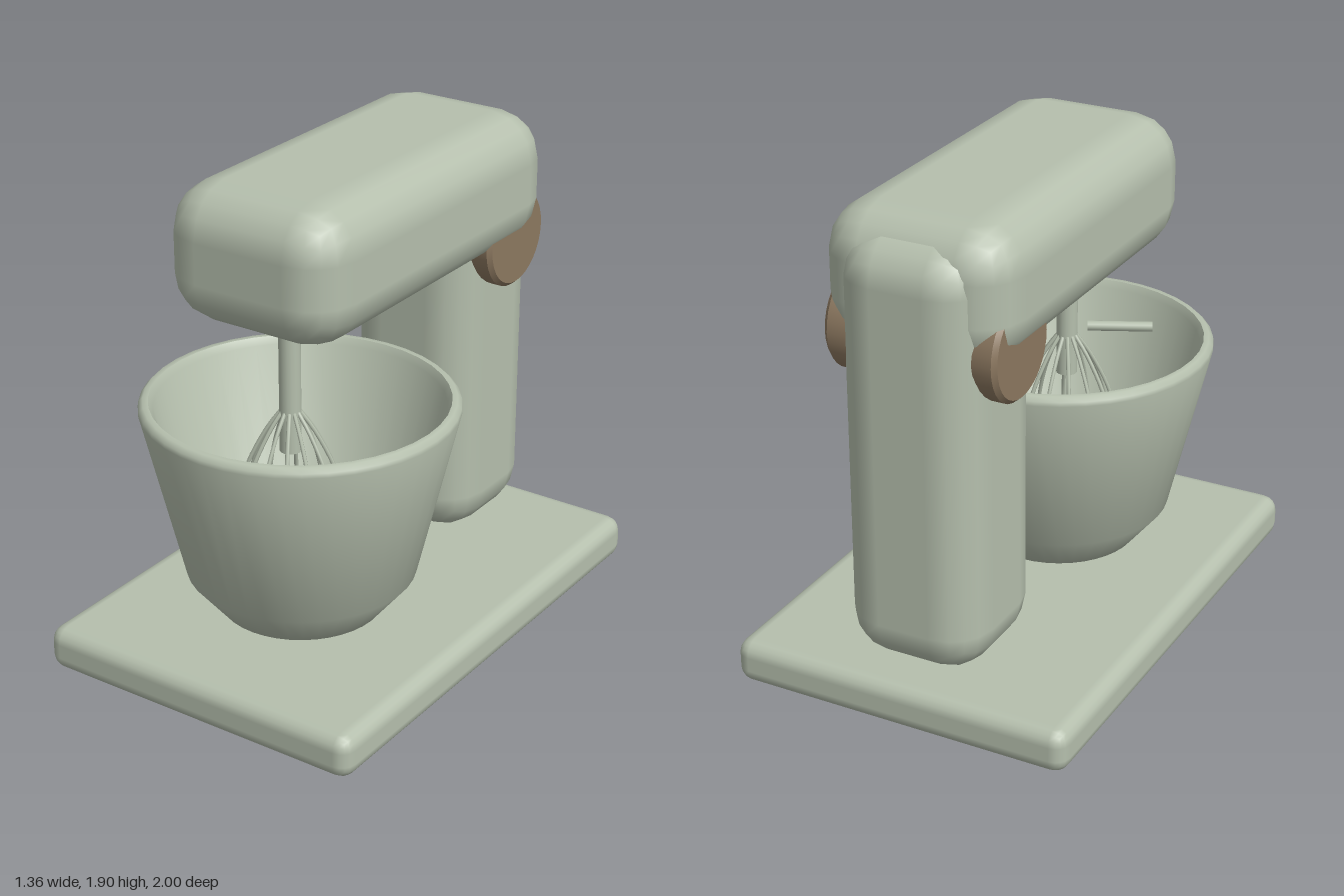
import * as THREE from 'three';
import { RoundedBoxGeometry } from 'three/addons/geometries/RoundedBoxGeometry.js';
import { toCreasedNormals } from 'three/addons/utils/BufferGeometryUtils.js';

export function createModel() {
  const model = new THREE.Group();
  model.name = 'standMixer';

  const sage = new THREE.MeshStandardMaterial({ color: 0xb5bfad });
  sage.name = 'sageEnamel';
  const bronze = new THREE.MeshStandardMaterial({ color: 0x8c7860 });
  bronze.name = 'bronzeHinge';

  const add = (name, geometry, material, parent = model) => {
    const mesh = new THREE.Mesh(geometry, material);
    mesh.name = name;
    parent.add(mesh);
    return mesh;
  };

  // Rounded block given by its extents on each axis
  const block = (name, [x0, x1], [y0, y1], [z0, z1], radius) => {
    const mesh = add(name, new RoundedBoxGeometry(x1 - x0, y1 - y0, z1 - z0, 2, radius), sage);
    mesh.position.set((x0 + x1) / 2, (y0 + y1) / 2, (z0 + z1) / 2);
  };

  // Body
  block('base', [-0.68, 0.68], [0, 0.175], [-1, 1], 0.06);
  block('column', [-0.275, 0.275], [0.187, 1.84], [-0.92, -0.37], 0.175);
  block('head', [-0.37, 0.37], [1.375, 1.9], [-0.86, 0.67], 0.185);

  // Hinge discs with softened rims, one on each side of the column
  const discProfile = [[0, 0.2], [0.19, 0.2], [0.195, 0.22], [0.195, 0.32], [0.18, 0.337], [0, 0.337]]
    .map(([r, y]) => new THREE.Vector2(r, y));
  const discGeometry = toCreasedNormals(new THREE.LatheGeometry(discProfile, 32), 0.6);
  for (const side of [-1, 1]) {
    const disc = add(side > 0 ? 'leftHinge' : 'rightHinge', discGeometry, bronze);
    disc.rotation.z = -side * Math.PI / 2;
    disc.position.set(0, 1.43, -0.645);
  }

  // Speed lever beside the head
  const leverStart = new THREE.Vector3(-0.592, 1.367, -0.145);
  const leverEnd = new THREE.Vector3(-0.385, 1.367, -0.242);
  const leverAxis = leverEnd.clone().sub(leverStart);
  const lever = add('speedLever', new THREE.CylinderGeometry(0.018, 0.018, leverAxis.length(), 12), sage);
  lever.position.copy(leverStart).add(leverEnd).multiplyScalar(0.5);
  lever.quaternion.setFromUnitVectors(new THREE.Vector3(0, 1, 0), leverAxis.normalize());

  // Bowl: outer wall, rolled rim, then inner wall down to the floor
  const bowlProfile = [
    [0, 0.198], [0.315, 0.198], [0.435, 0.345], [0.593, 1.01], [0.591, 1.027], [0.575, 1.043],
    [0.555, 1.043], [0.538, 1.015], [0.39, 0.37], [0.29, 0.245], [0, 0.245],
  ].map(([r, y]) => new THREE.Vector2(r, y));
  const bowl = add('bowl', toCreasedNormals(new THREE.LatheGeometry(bowlProfile, 40), 0.9), sage);
  bowl.position.z = 0.307;

  // Whisk: drive shaft and crossed wire loops
  const whisk = new THREE.Group();
  whisk.name = 'whisk';
  whisk.position.z = 0.37;
  model.add(whisk);
  add('driveShaft', new THREE.CylinderGeometry(0.041, 0.041, 0.58, 16), sage, whisk).position.y = 1.14;

  const halfLoop = [[0.02, 1.03], [0.09, 0.93], [0.17, 0.76], [0.2, 0.6], [0.14, 0.44]];
  const loopPoints = [
    ...halfLoop.map(([x, y]) => new THREE.Vector3(x, y, 0)),
    new THREE.Vector3(0, 0.38, 0),
    ...halfLoop.map(([x, y]) => new THREE.Vector3(-x, y, 0)).reverse(),
  ];
  const loopGeometry = new THREE.TubeGeometry(new THREE.CatmullRomCurve3(loopPoints), 40, 0.008, 6);
  const loops = 6;
  for (let i = 0; i < loops; i++) {
    add('whiskWire', loopGeometry, sage, whisk).rotation.y = (i / loops) * Math.PI;
  }

  return model;
}
